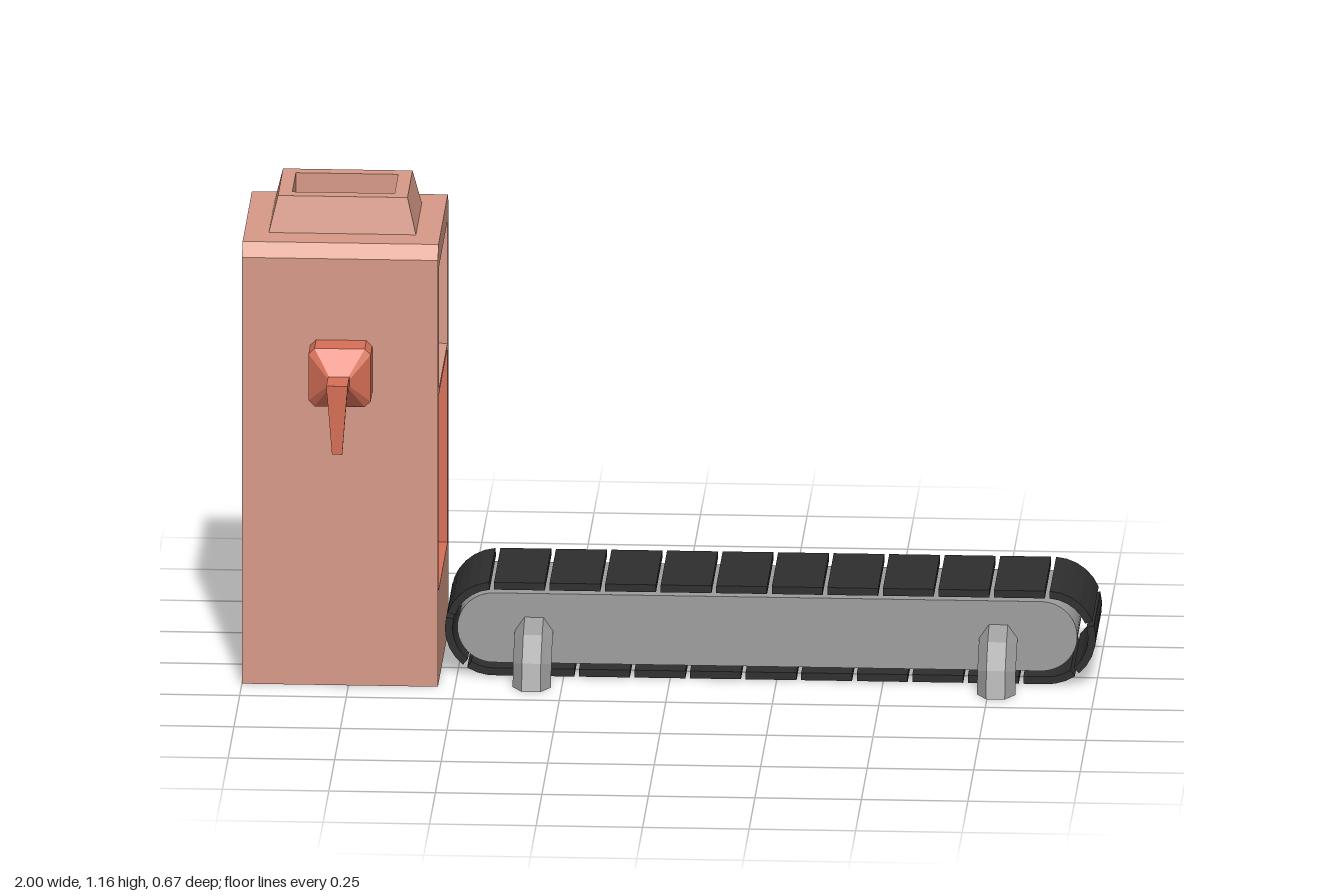
import * as THREE from 'three';

const mat = (name, color) => {
  const m = new THREE.MeshStandardMaterial({ color, side: THREE.DoubleSide, flatShading: true });
  m.name = name;
  return m;
};

// Skin a list of point rings with quads, optionally capping both ends.
function loft(rings, { caps = true, closed = true } = {}) {
  const n = rings[0].length, index = [];
  for (let r = 0; r < rings.length - 1; r++) {
    for (let i = 0; i < (closed ? n : n - 1); i++) {
      const a = r * n + i, b = r * n + (i + 1) % n;
      index.push(a, b, b + n, a, b + n, a + n);
    }
  }
  if (caps) {
    const e = (rings.length - 1) * n;
    for (let i = 1; i < n - 1; i++) index.push(0, i + 1, i, e, e + i, e + i + 1);
  }
  const indexed = new THREE.BufferGeometry();
  indexed.setAttribute('position', new THREE.Float32BufferAttribute(rings.flat(2), 3));
  indexed.setIndex(index);
  const g = indexed.toNonIndexed();
  g.computeVertexNormals();
  return g;
}

// Box lacking its +x face, with the back slightly narrowed by taper.
function pocket(x0, x1, y0, y1, z0, z1, taper = 1) {
  const g = new THREE.BoxGeometry(x1 - x0, y1 - y0, z1 - z0);
  g.setIndex(Array.from(g.index.array).slice(6));
  g.clearGroups();
  const p = g.attributes.position;
  for (let i = 0; i < p.count; i++) {
    if (p.getX(i) < 0) p.setXYZ(i, p.getX(i), p.getY(i) * taper, p.getZ(i) * taper);
  }
  return g.translate((x0 + x1) / 2, (y0 + y1) / 2, (z0 + z1) / 2);
}

const rectPath = (u0, u1, v0, v1) => new THREE.Path([[u0, v0], [u0, v1], [u1, v1], [u1, v0]].map(p => new THREE.Vector2(...p)));

export function createModel() {
  const root = new THREE.Group();
  const pink = mat('dusty pink casing', 0xd89a88);
  const orange = mat('terracotta', 0xd87058);
  const black = mat('belt black', 0x2e2e2e);
  const grey = mat('metal grey', 0x9e9e9e);
  const add = (name, geometry, material, parent = root) => {
    const m = new THREE.Mesh(geometry, material);
    m.name = name;
    parent.add(m);
    return m;
  };

  // Tower casing, open underneath
  const tower = new THREE.Group();
  tower.name = 'tower';
  root.add(tower);
  const XL = -1, XR = -0.54;
  const profile = [[-0.155, 0], [-0.155, 1.045], [-0.125, 1.075], [0.275, 1.075], [0.305, 1.045], [0.305, 0]]; // (-z, y)
  const side = holes => {
    const s = new THREE.Shape(profile.map(p => new THREE.Vector2(...p)));
    s.holes.push(...holes);
    return new THREE.ShapeGeometry(s).rotateY(Math.PI / 2);
  };
  add('blankWall', side([]).translate(XL, 0, 0), pink, tower);
  add('openingWall', side([
    rectPath(-0.12, 0.267, 0.225, 0.702),
    rectPath(-0.106, 0.255, 0.715, 1.015),
  ]).translate(XR, 0, 0), pink, tower);
  add('casingSkin', loft([XL, XR].map(x => profile.map(([u, y]) => [x, y, -u])), { caps: false, closed: false }), pink, tower);
  add('upperRecess', pocket(XR - 0.03, XR, 0.715, 1.015, -0.255, 0.106, 0.97), pink, tower);
  add('chamber', pocket(XR - 0.38, XR, 0.225, 0.702, -0.267, 0.12), orange, tower);

  // Hopper on the roof
  const hx = -0.77, hz = -0.077;
  const ring = (y, w, d) => [[-1, 1], [1, 1], [1, -1], [-1, -1]].map(([i, k]) => [hx + i * w, y, hz + k * d]);
  add('hopper', loft([
    ring(1.07, 0.174, 0.129), ring(1.16, 0.152, 0.108), ring(1.16, 0.12, 0.076), ring(1.07, 0.12, 0.076),
  ], { caps: false }), pink, tower);
  add('hopperFloor', new THREE.BoxGeometry(0.24, 0.006, 0.152).translate(hx, 1.08, hz), orange, tower);

  // Tap: chamfered block, tapered neck, spout and hanging lever
  const tap = new THREE.Group();
  tap.name = 'tap';
  root.add(tap);
  const tx = -0.767, ty = 0.775;
  const octagon = (z, w, h, c) => [
    [-w + c, -h], [w - c, -h], [w, -h + c], [w, h - c], [w - c, h], [-w + c, h], [-w, h - c], [-w, -h + c],
  ].map(([x, y]) => [tx + x, ty + y, z]);
  add('tapBody', loft([
    octagon(0.15, 0.073, 0.071, 0.014), octagon(0.224, 0.073, 0.071, 0.014), octagon(0.265, 0.026, 0.013, 0.004),
  ]), orange, tap);
  const bar = (z, y0, y1, w) => [[tx - w, y0, z], [tx + w, y0, z], [tx + w, y1, z], [tx - w, y1, z]];
  add('tapSpout', loft([bar(0.26, 0.765, 0.789, 0.025), bar(0.335, 0.77, 0.789, 0.025)]), orange, tap);
  const drop = (y, z0, z1, w) => [[tx - w, y, z1], [tx + w, y, z1], [tx + w, y, z0], [tx - w, y, z0]];
  add('tapLever', loft([drop(0.62, 0.325, 0.334, 0.012), drop(0.789, 0.319, 0.338, 0.025)]), orange, tap);

  // Conveyor core
  const conveyor = new THREE.Group();
  conveyor.name = 'conveyor';
  root.add(conveyor);
  const x0 = -0.415, x1 = 0.885, cy = 0.115, zBack = -0.215, zFront = 0.06;
  const core = new THREE.Shape();
  core.absarc(x1 - 0.015, cy, 0.085, -Math.PI / 2, Math.PI / 2, false);
  core.absarc(x0, cy, 0.085, Math.PI / 2, Math.PI * 1.5, false);
  add('conveyorCore', new THREE.ExtrudeGeometry(core, { depth: 0.255, bevelEnabled: false, curveSegments: 12 })
    .translate(0, 0, -0.205), grey, conveyor);

  // Belt slats spaced round a stadium track
  const R = 0.105, run = x1 - x0, arc = Math.PI * R, total = 2 * (run + arc), count = 25;
  const track = s => { // distance -> [x, y, normal x, normal y]
    s = ((s % total) + total) % total;
    const half = s >= arc + run;
    if (half) s -= arc + run;
    const a = Math.min(s, arc) / R, d = Math.max(0, s - arc), f = half ? -1 : 1;
    const nx = Math.sin(a) * f, ny = Math.cos(a) * f;
    return [(half ? x0 : x1) + nx * R - d * f, cy + ny * R, nx, ny];
  };
  const pitch = total / count, gap = 0.011;
  for (let k = 0; k < count; k++) {
    const rings = [];
    for (let j = 0; j <= 5; j++) {
      const [x, y, nx, ny] = track(k * pitch + gap / 2 + (pitch - gap) * j / 5);
      rings.push([[-1, zBack], [1, zBack], [1, zFront], [-1, zFront]].map(([t, z]) => [x + nx * t * 0.009, y + ny * t * 0.009, z]));
    }
    add('beltSlat', loft(rings), black, conveyor);
  }

  // Arched legs passing through the core
  const section = [[0, -0.022], [0.5, -0.045], [1, -0.022], [1, 0.022], [0.5, 0.045], [0, 0.022]]; // (outward, x)
  for (const lx of [-0.32, 0.77]) {
    const rings = [];
    for (let j = 0; j <= 8; j++) {
      const a = Math.PI * j / 8;
      rings.push(section.map(([t, x]) => [
        lx + x, Math.sin(a) * (0.105 + 0.06 * t), -0.075 + Math.cos(a) * (0.185 + 0.075 * t),
      ]));
    }
    add('archLeg', loft(rings), grey, conveyor);
  }
  return root;
}
